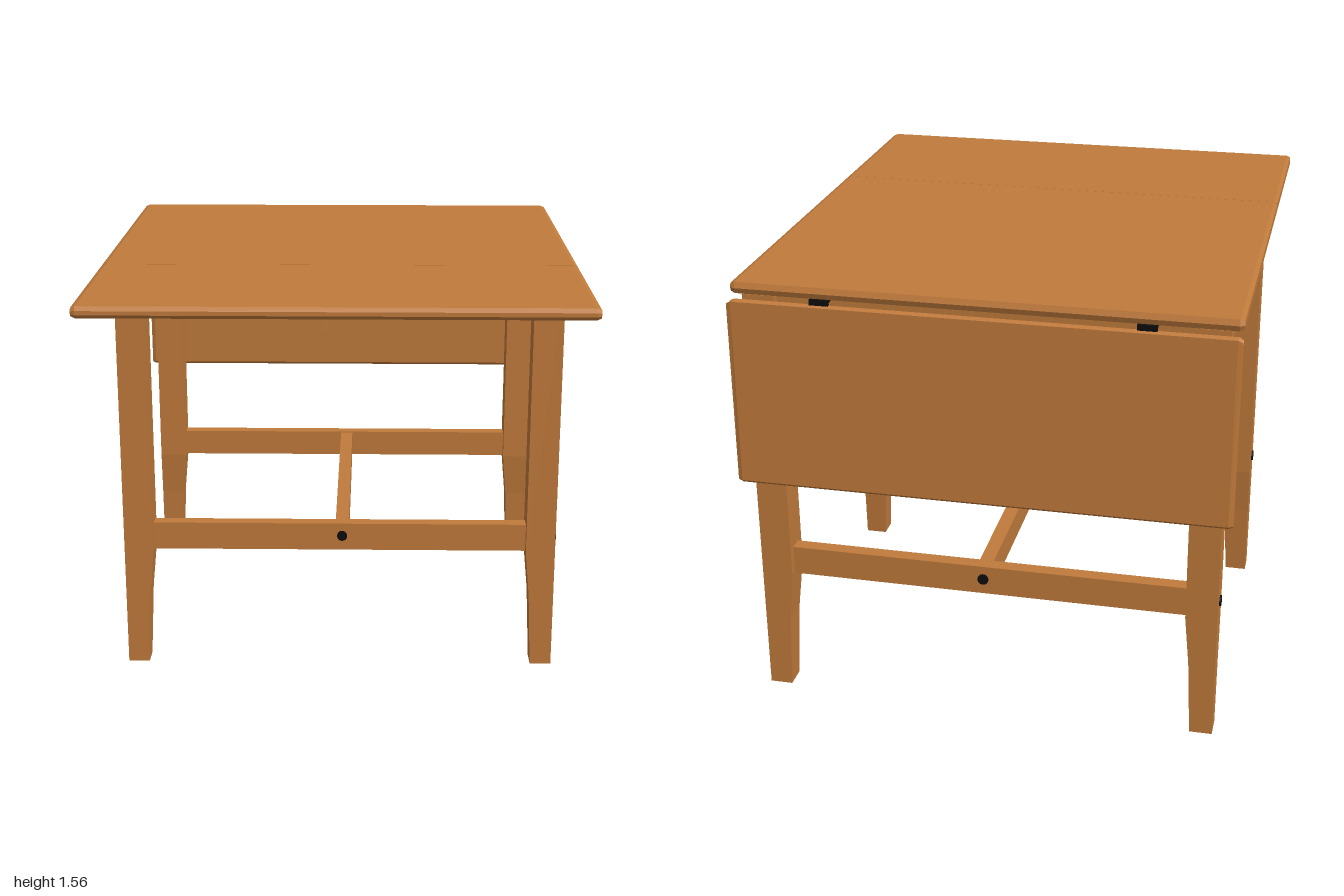
import * as THREE from 'three';

const wood = new THREE.MeshStandardMaterial({ color: 0xc07a3b });
wood.name = 'warm wood';
const black = new THREE.MeshStandardMaterial({ color: 0x0c0c0c });
black.name = 'black metal';

export function createModel() {
  const model = new THREE.Group();
  model.name = 'dropLeafTable';

  const add = (name, geometry, material = wood) => {
    const mesh = new THREE.Mesh(geometry, material);
    mesh.name = name;
    model.add(mesh);
    return mesh;
  };

  // Box given by its limits on each axis
  const box = (name, [x0, x1], [y0, y1], [z0, z1], material) =>
    add(name, new THREE.BoxGeometry(x1 - x0, y1 - y0, z1 - z0), material)
      .position.set((x0 + x1) / 2, (y0 + y1) / 2, (z0 + z1) / 2);

  // Board with a (z, y) profile running across the width, ends chamfered
  const board = (name, profile) => {
    const c = 0.006, width = 1.71;
    const shape = new THREE.Shape(profile.map(([z, y]) => new THREE.Vector2(z, y)));
    const geo = new THREE.ExtrudeGeometry(shape, {
      depth: width - 0.03, bevelThickness: 0.015, bevelSize: c, bevelOffset: -c, bevelSegments: 1,
    });
    geo.translate(0, 0, -(width - 0.03) / 2);
    geo.rotateY(-Math.PI / 2);
    add(name, geo);
  };

  // Fixed top, raised front leaf and hanging back leaf
  board('tableTop', [[-0.937, 1.52], [0.324, 1.52], [0.324, 1.56], [-0.937, 1.56], [-0.945, 1.54]]);
  board('frontLeaf', [[0.326, 1.52], [0.99, 1.52], [1, 1.532], [1, 1.546], [0.99, 1.56], [0.326, 1.56]]);
  board('backLeaf', [[-0.948, 1.505], [-0.968, 1.492], [-0.988, 1.508],
    [-1, 0.855], [-0.99, 0.845], [-0.967, 0.845], [-0.957, 0.855]]);

  // Legs: straight outside faces, inside faces tapering below the stretchers
  const heights = [0, 0.28, 0.46, 1.52];
  const widths = [0.08, 0.093, 0.11, 0.11];
  const leg = (name, sx, sz, outerZ) => {
    const geo = new THREE.BoxGeometry(1, 3, 1, 1, 3, 1).toNonIndexed();
    const p = geo.attributes.position;
    for (let i = 0; i < p.count; i++) {
      const k = Math.round(p.getY(i) + 1.5);
      const x = p.getX(i) * sx > 0 ? 0.815 : 0.815 - widths[k];
      const z = p.getZ(i) * sz > 0 ? outerZ : outerZ - sz * widths[k];
      p.setXYZ(i, sx * x, heights[k], z);
    }
    geo.computeVertexNormals();
    add(name, geo);
  };

  // Round bolt head facing along x or z
  const bolt = (name, x, z, axis) => {
    const mesh = add(name, new THREE.CylinderGeometry(0.019, 0.019, 0.012, 20), black);
    if (axis === 'x') mesh.rotation.z = Math.PI / 2;
    else mesh.rotation.x = Math.PI / 2;
    mesh.position.set(x, 0.512, z);
  };

  for (const [side, sx] of [['left', 1], ['right', -1]]) {
    leg(side + 'FrontLeg', sx, 1, 0.33);
    leg(side + 'BackLeg', sx, -1, -0.94);
    bolt(side + 'FrontLegBolt', sx * 0.815, 0.275, 'x');
    bolt(side + 'BackLegBolt', sx * 0.815, -0.888, 'x');
    const x = sx * 0.765;
    box(side + 'Apron', [x - 0.022, x + 0.022], [1.365, 1.52], [-0.835, 0.22]);
  }

  // Front and back aprons and stretchers, with the long middle stretcher
  for (const [end, z, sz] of [['front', 0.275, 1], ['back', -0.888, -1]]) {
    box(end + 'Apron', [-0.705, 0.705], [1.365, 1.518], [z - 0.022, z + 0.022]);
    box(end + 'Stretcher', [-0.707, 0.707], [0.455, 0.56], [z - 0.025, z + 0.025]);
    bolt(end + 'StretcherBolt', 0.01, z + sz * 0.026, 'z');
  }
  box('middleStretcher', [-0.015, 0.035], [0.46, 0.555], [-0.863, 0.25]);

  // Sliding leaf supports: front pulled out, back pushed in, with a guide
  box('frontLeafSupport', [-0.05, -0.02], [1.445, 1.512], [-0.04, 0.85]);
  box('backLeafSupport', [0.02, 0.05], [1.445, 1.512], [-0.915, -0.02]);
  for (const x of [-0.085, -0.015, 0.055])
    box('supportGuide', [x, x + 0.03], [1.46, 1.52], [-0.03, 0.2]);

  // Hinges below both seams
  for (const x of [-0.548, 0.545]) {
    box('frontHingePlate', [x - 0.033, x + 0.033], [1.512, 1.5205], [0.24, 0.39], black);
    box('frontHingeKnuckle', [x - 0.033, x + 0.033], [1.495, 1.515], [0.298, 0.326], black);
    box('backHingePlate', [x - 0.033, x + 0.033], [1.512, 1.5205], [-0.95, -0.85], black);
    box('backHingeKnuckle', [x - 0.033, x + 0.033], [1.47, 1.515], [-0.952, -0.941], black);
  }
  return model;
}
